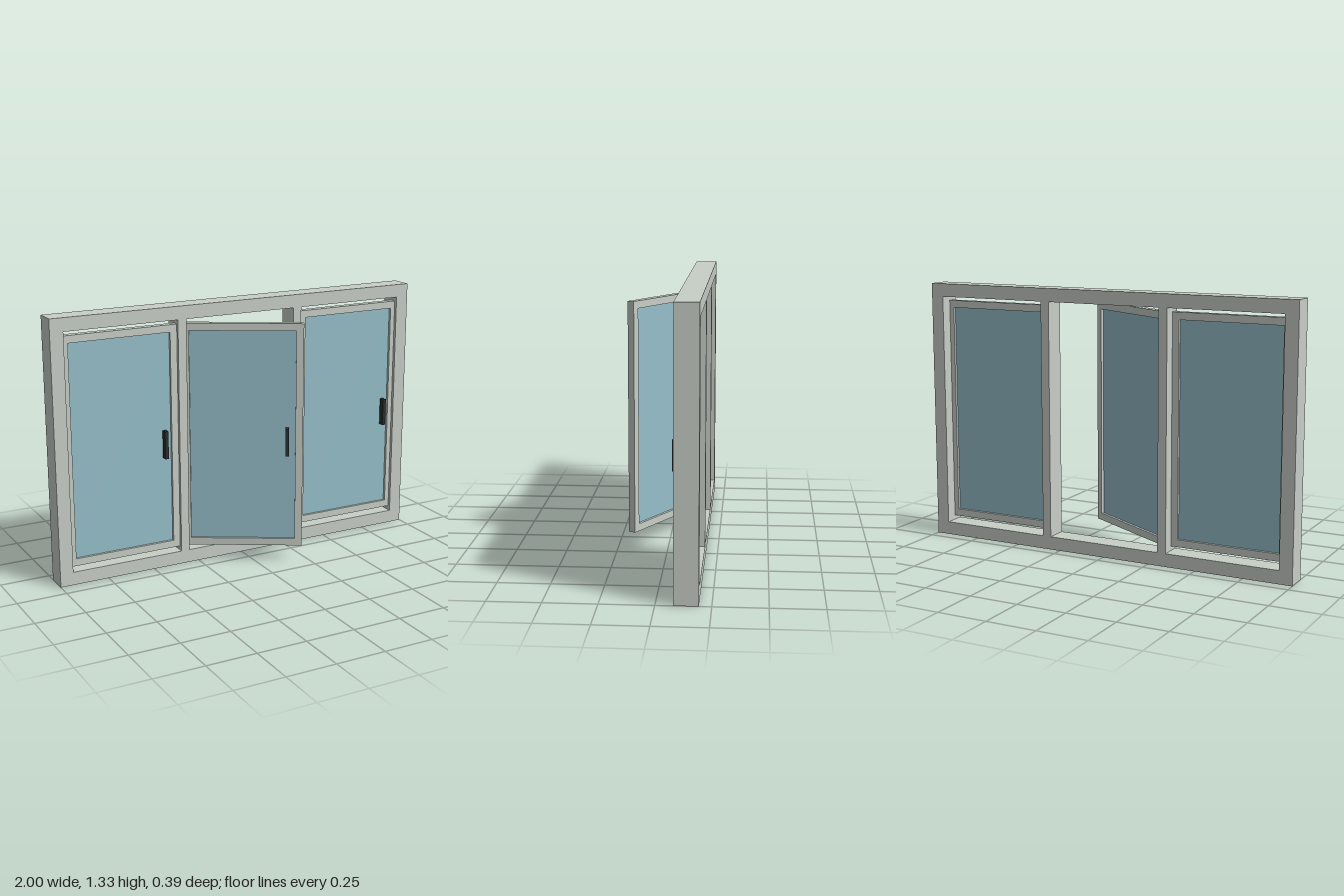
import * as THREE from 'three';

const frameMat = new THREE.MeshStandardMaterial({ color: 0xc8cfc7 });
frameMat.name = 'pale grey frame';
const glassMat = new THREE.MeshStandardMaterial({ color: 0x96bfca });
glassMat.name = 'blue glass';
const handleMat = new THREE.MeshStandardMaterial({ color: 0x2b2e30 });
handleMat.name = 'black handle';

const HEIGHT = 1.333, BAR = 0.067, DEPTH = 0.112, FRAME_Z = -0.137;
const SASH_W = 0.6, SASH_H = 1.153, STILE = 0.037, SASH_D = 0.036;
const MID_Y = HEIGHT / 2;

function box(name, w, h, d, x, y, z, material) {
  const mesh = new THREE.Mesh(new THREE.BoxGeometry(w, h, d), material);
  mesh.name = name;
  mesh.position.set(x, y, z);
  return mesh;
}

// One glazed sash; its origin is the middle of its hinge edge
function makeSash(name) {
  const sash = new THREE.Group();
  sash.name = name;
  const innerW = SASH_W - 2 * STILE, innerH = SASH_H - 2 * STILE;
  for (const s of [-1, 1]) {
    sash.add(box('sashStile', STILE, SASH_H, SASH_D,
      SASH_W / 2 + s * (SASH_W - STILE) / 2, 0, 0, frameMat));
    sash.add(box('sashRail', innerW, STILE, SASH_D,
      SASH_W / 2, s * (SASH_H - STILE) / 2, 0, frameMat));
  }
  sash.add(box('glassPane', innerW, innerH, 0.009, SASH_W / 2, 0, 0, glassMat));
  sash.add(box('handle', 0.018, 0.142, 0.03, SASH_W - 0.078, -0.021, SASH_D / 2 + 0.014, handleMat));
  return sash;
}

export function createModel() {
  const model = new THREE.Group();
  model.name = 'casementWindow';

  // Outer frame and the two mullions
  for (const s of [-1, 1]) {
    model.add(box('framePost', BAR, HEIGHT, DEPTH, s * (1 - BAR / 2), MID_Y, FRAME_Z, frameMat));
    model.add(box('frameRail', 2 - 2 * BAR, BAR, DEPTH,
      0, MID_Y + s * (HEIGHT - BAR) / 2, FRAME_Z, frameMat));
    model.add(box('mullion', 0.045, HEIGHT - 2 * BAR, DEPTH, s * 0.324, MID_Y, FRAME_Z, frameMat));
  }

  // Two closed sashes and the middle one swung open by 30 degrees
  const sashes = [
    ['rightSash', -0.945, -0.115, 0],
    ['openSash', -0.309, -0.123, -Math.PI / 6],
    ['leftSash', 0.345, -0.115, 0],
  ];
  for (const [name, x, z, turn] of sashes) {
    const sash = makeSash(name);
    sash.position.set(x, MID_Y, z);
    sash.rotation.y = turn;
    model.add(sash);
  }
  return model;
}
